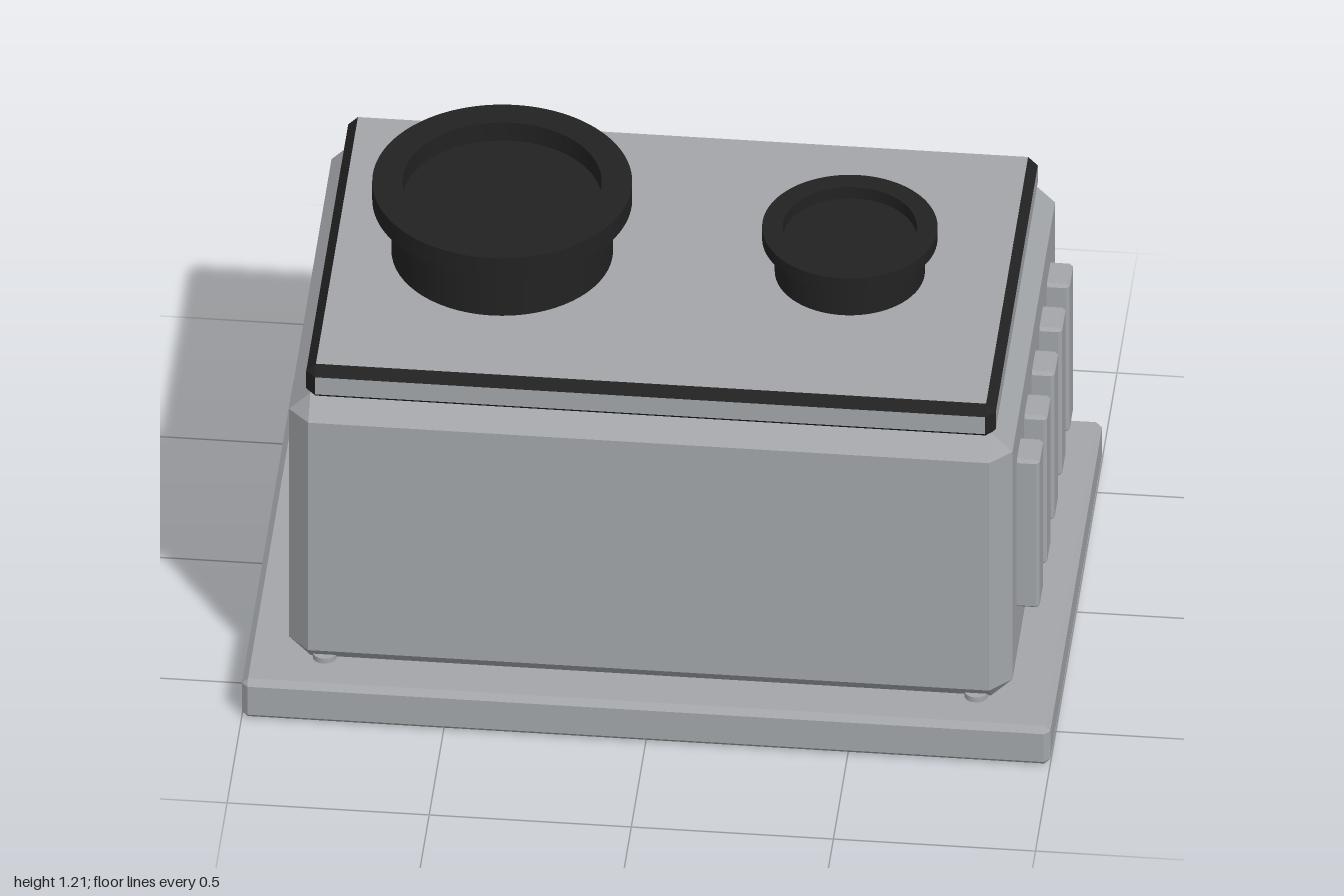
import * as THREE from 'three';
import { ConvexGeometry } from 'three/addons/geometries/ConvexGeometry.js';

const grey = new THREE.MeshStandardMaterial({ name: 'casingGrey', color: 0xa3a6aa });
const dark = new THREE.MeshStandardMaterial({ name: 'trimBlack', color: 0x222222 });

// Box with bevelled edges and corners; group 0 is the flat faces, group 1 the bevels
function bevelBox(w, h, d, c) {
  const points = [];
  for (const sx of [-1, 1]) for (const sy of [-1, 1]) for (const sz of [-1, 1]) {
    const x = w / 2, y = h / 2, z = d / 2;
    for (const [a, b, e] of [[0, c, c], [c, 0, c], [c, c, 0]]) {
      points.push(new THREE.Vector3(sx * (x - a), sy * (y - b), sz * (z - e)));
    }
  }
  const geometry = new ConvexGeometry(points);
  const n = geometry.attributes.normal;
  for (let i = 0; i < n.count; i += 3) {
    const flat = Math.max(Math.abs(n.getX(i)), Math.abs(n.getY(i)), Math.abs(n.getZ(i))) > 0.99;
    geometry.addGroup(i, 3, flat ? 0 : 1);
  }
  return geometry;
}

function addPart(parent, name, geometry, material, x, y, z) {
  const mesh = new THREE.Mesh(geometry, material);
  mesh.name = name;
  mesh.position.set(x, y, z);
  parent.add(mesh);
  return mesh;
}

// Round port: solid collar topped by a wider open ring
function addPort(parent, name, x, collarR, ringR, innerR, ringY, topY) {
  const port = new THREE.Group();
  port.name = name;
  port.position.x = x;
  const collarH = ringY - 0.99;
  addPart(port, 'collar', new THREE.CylinderGeometry(collarR, collarR, collarH, 64), dark, 0, 0.99 + collarH / 2, 0);
  const shape = new THREE.Shape().absarc(0, 0, ringR, 0, Math.PI * 2);
  shape.holes.push(new THREE.Path().absarc(0, 0, innerR, 0, Math.PI * 2, true));
  const ringGeometry = new THREE.ExtrudeGeometry(shape, { depth: topY - ringY, bevelEnabled: false, curveSegments: 64 });
  ringGeometry.rotateX(-Math.PI / 2);
  addPart(port, 'rimRing', ringGeometry, dark, 0, ringY, 0);
  parent.add(port);
}

export function createModel() {
  const model = new THREE.Group();
  model.name = 'ventilationUnit';

  // Base plate, casing and lid with dark bevelled trim
  addPart(model, 'basePlate', bevelBox(2, 0.115, 1.3, 0.015), [grey, grey], 0, 0.0575, 0);
  addPart(model, 'casing', bevelBox(1.79, 0.8, 1.15, 0.053), [grey, grey], 0, 0.515, 0);
  addPart(model, 'lid', bevelBox(1.706, 0.1, 1.08, 0.024), [grey, dark], 0, 0.95, 0);

  // Ports on the lid
  addPort(model, 'largePort', -0.42, 0.273, 0.32, 0.245, 1.155, 1.21);
  addPort(model, 'smallPort', 0.44, 0.185, 0.216, 0.165, 1.1, 1.135);

  // Cooling ribs on the left side
  for (let i = -2; i <= 2; i++) {
    addPart(model, 'rib', bevelBox(0.07, 0.45, 0.1, 0.008), [grey, grey], 0.916, 0.535, i * 0.184);
  }

  // Mounting bolts at the casing corners
  for (const sx of [-1, 1]) for (const sz of [-1, 1]) {
    addPart(model, 'mountingBolt', new THREE.CylinderGeometry(0.03, 0.03, 0.02, 16), grey, sx * 0.806, 0.12, sz * 0.526);
  }
  return model;
}
